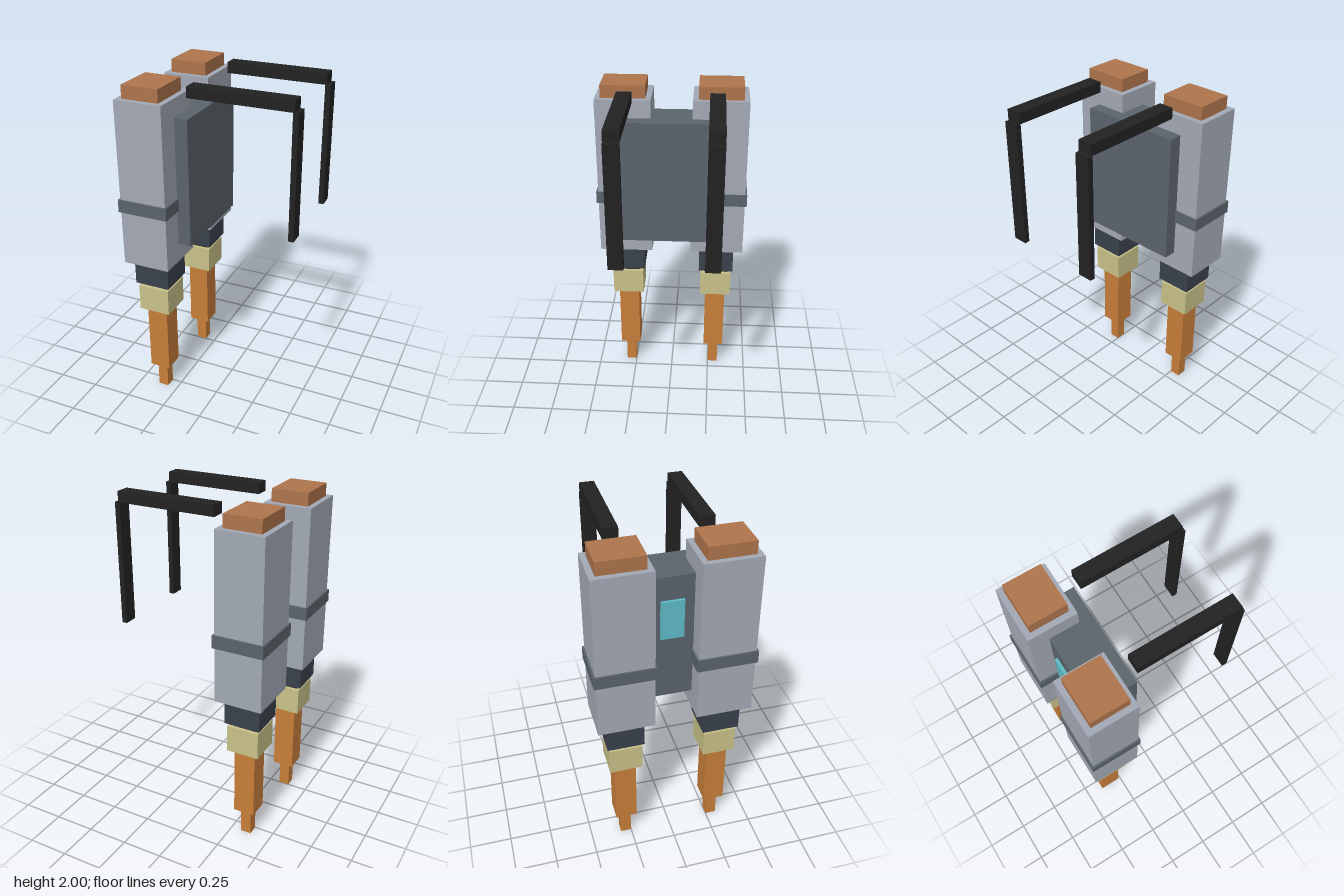
import * as THREE from 'three';

const paint = (name, color) => {
  const m = new THREE.MeshStandardMaterial({ color });
  m.name = name;
  return m;
};

export function createModel() {
  const grey = paint('light grey', 0xa3a9b5);
  const slate = paint('slate', 0x5b636c);
  const copper = paint('copper', 0xae744c);
  const orange = paint('flame orange', 0xc87e3a);
  const cream = paint('cream', 0xc9c188);
  const navy = paint('dark navy', 0x3a414c);
  const black = paint('black', 0x222222);
  const teal = paint('teal', 0x5fbcc8);

  const model = new THREE.Group();
  model.name = 'jetpack';

  // Box given by its minimum and maximum along each axis
  const box = (parent, name, mat, [x0, x1], [y0, y1], [z0, z1]) => {
    const mesh = new THREE.Mesh(new THREE.BoxGeometry(x1 - x0, y1 - y0, z1 - z0), mat);
    mesh.position.set((x0 + x1) / 2, (y0 + y1) / 2, (z0 + z1) / 2);
    mesh.name = name;
    parent.add(mesh);
  };

  // Thruster stack: name, colour, width in x, width in z, bottom, top
  const stack = [
    ['cap', copper, 0.218, 0.26, 1.925, 2.0],
    ['tank', grey, 0.282, 0.325, 0.948, 1.925],
    ['strap', slate, 0.302, 0.347, 1.275, 1.35],
    ['nozzleCollar', navy, 0.216, 0.216, 0.788, 0.948],
    ['nozzleNeck', black, 0.15, 0.15, 0.764, 0.788],
    ['nozzle', cream, 0.194, 0.194, 0.602, 0.764],
    ['flame', orange, 0.128, 0.128, 0.17, 0.602],
    ['flameTip', orange, 0.064, 0.064, 0, 0.17],
  ];

  for (const [side, s] of [['right', -1], ['left', 1]]) {
    const thruster = new THREE.Group();
    thruster.name = side + 'Thruster';
    thruster.position.set(-0.345, 0, s * 0.283);
    for (const [name, mat, w, d, y0, y1] of stack)
      box(thruster, name, mat, [-w / 2, w / 2], [y0, y1], [-d / 2, d / 2]);
    model.add(thruster);

    // Shoulder strap: a bar over the top and one hanging down
    const harness = new THREE.Group();
    harness.name = side + 'Harness';
    harness.position.z = s * 0.261;
    box(harness, 'shoulderBar', black, [-0.127, 0.47], [1.938, 2.0], [-0.043, 0.043]);
    box(harness, 'chestBar', black, [0.461, 0.492], [1.22, 1.938], [-0.043, 0.043]);
    model.add(harness);
  }

  // Plate joining the thrusters, with a small light on its outer face
  box(model, 'backPlate', slate, [-0.376, -0.127], [1.06, 1.818], [-0.304, 0.304]);
  box(model, 'statusLight', teal, [-0.392, -0.376], [1.45, 1.68], [-0.066, 0.063]);

  return model;
}
